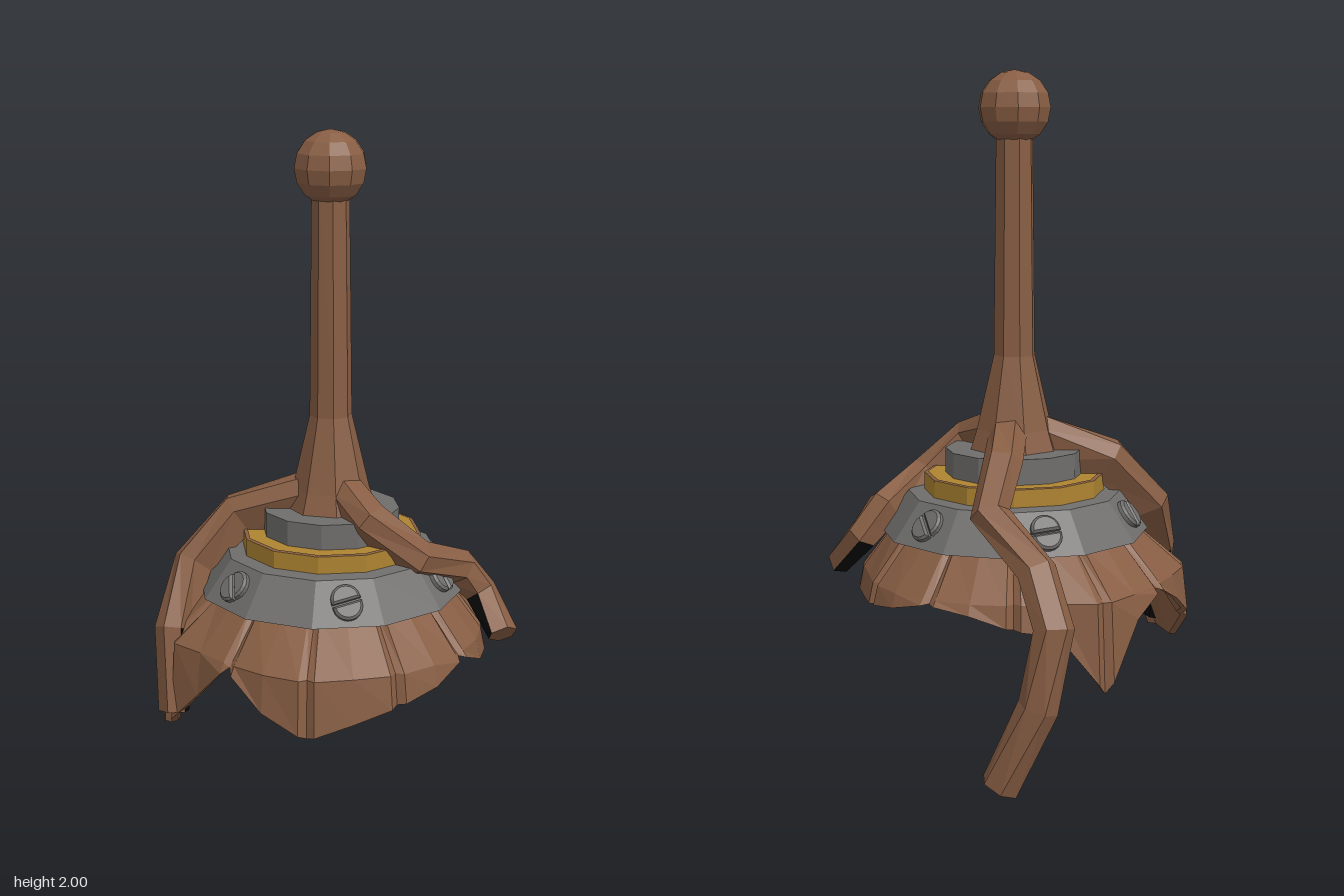
import * as THREE from 'three';

const V = (x, y, z) => new THREE.Vector3(x, y, z);
const AXIS = -0.02; // the centre line sits slightly off the origin in x and z

const paint = (name, color) => {
  const m = new THREE.MeshStandardMaterial({ color, flatShading: true });
  m.name = name;
  return m;
};

// Joins rows of points (each row a closed loop) into a faceted skin;
// faces picked by isSecond(row, column) use the second material
function loft(rows, isSecond = () => false) {
  const pos = [];
  const g = new THREE.BufferGeometry();
  const n = rows[0].length;
  for (let j = 0; j < rows.length - 1; j++) {
    for (let i = 0; i < n; i++) {
      const k = (i + 1) % n;
      const a = rows[j][i], b = rows[j][k], c = rows[j + 1][i], d = rows[j + 1][k];
      g.addGroup(pos.length / 3, 6, isSecond(j, i) ? 1 : 0);
      for (const p of [a, b, c, b, d, c]) pos.push(p.x, p.y, p.z);
    }
  }
  g.setAttribute('position', new THREE.Float32BufferAttribute(pos, 3));
  g.computeVertexNormals();
  return g;
}

// Bent root: a six-sided bar swept along a few points, deeper underneath near the pole,
// with a dark hollow along the inner side from the given segment to the tip
function rootGeometry(points, hollowFrom) {
  const width = 0.058, height = 0.048;
  const rings = points.map((p, i) => {
    const t = V(0, 0, 0);
    if (i > 0) t.add(p.clone().sub(points[i - 1]).normalize());
    if (i < points.length - 1) t.add(points[i + 1].clone().sub(p).normalize());
    t.normalize();
    const n = V(p.x - AXIS, 0, p.z - AXIS).normalize().add(V(0, 1, 0));
    n.addScaledVector(t, -n.dot(t)).normalize();
    const s = n.clone().cross(t);
    const depth = THREE.MathUtils.lerp(0.12, 0.035, i / (points.length - 1));
    return Array.from({ length: 6 }, (_, k) => {
      const a = (k / 6) * Math.PI * 2, up = Math.sin(a);
      return p.clone().addScaledVector(s, Math.cos(a) * width)
        .addScaledVector(n, up * (up > 0 ? height : depth));
    });
  });
  const cap = (p) => Array(6).fill(p);
  return loft([cap(points[0]), ...rings, cap(points[points.length - 1])],
    (row, column) => row > hollowFrom && row < points.length && column > 2);
}

// Ragged wooden skirt: twelve planks with grooves, hem given every 15 degrees from +x to +z
function skirtGeometry() {
  const hemY = [0.52, 0.49, 0.47, 0.46, 0.46, 0.47, 0.52, 0.47, 0.44, 0.4, 0.36, 0.42,
    0.52, 0.4, 0.27, 0.27, 0.38, 0.46, 0.52, 0.46, 0.27, 0.44, 0.46, 0.5];
  const hemR = [0.49, 0.49, 0.48, 0.46, 0.47, 0.48, 0.485, 0.5, 0.51, 0.51, 0.53, 0.51,
    0.49, 0.49, 0.53, 0.52, 0.53, 0.5, 0.49, 0.5, 0.53, 0.48, 0.48, 0.485];
  const sample = (list, deg) => {
    const f = ((deg + 360) % 360) / 15, i = Math.floor(f);
    return THREE.MathUtils.lerp(list[i % 24], list[(i + 1) % 24], f - i);
  };
  const rows = [[], [], [], [], [], []];
  for (let plank = 0; plank < 12; plank++) {
    for (const d of [-2.5, 0, 2.5, 15]) {
      const deg = plank * 30 + d, a = THREE.MathUtils.degToRad(deg);
      const groove = d === 0 ? 0.018 : 0;
      const r = sample(hemR, deg) - groove, y = sample(hemY, deg);
      const profile = [[0.36 - groove, 0.66], [r * 0.97, Math.max(0.53, y + 0.015)], [r, y],
        [r - 0.02, y + 0.005], [0.4, 0.535], [0, 0.525]];
      profile.forEach(([pr, py], j) => rows[j].push(V(Math.cos(a) * pr, py, Math.sin(a) * pr)));
    }
  }
  return loft(rows);
}

// Half of a slotted bolt head, bevelled and lying on the y = 0 plane
function halfBoltGeometry() {
  const shape = new THREE.Shape();
  shape.absarc(0, 0, 0.036, 0, Math.PI, false);
  const g = new THREE.ExtrudeGeometry(shape, {
    depth: 0.012, curveSegments: 5, bevelEnabled: true, bevelSegments: 1,
    bevelSize: 0.007, bevelThickness: 0.007,
  });
  g.translate(0, 0.01, 0);
  g.rotateX(-Math.PI / 2);
  return g;
}

export function createModel() {
  const wood = paint('wood', 0x885e44);
  const iron = paint('iron', 0x6f6e6c);
  const gold = paint('gold', 0xae8431);
  const hollow = paint('hollow black', 0x0a0a0a);
  const model = new THREE.Group();
  model.name = 'rootedStaffCap';
  const core = new THREE.Group();
  core.name = 'core';
  core.position.set(AXIS, 0, AXIS);
  model.add(core);

  const add = (parent, name, geometry, material) => {
    const mesh = new THREE.Mesh(geometry, material);
    mesh.name = name;
    parent.add(mesh);
    return mesh;
  };
  const lathe = (points, sides) =>
    new THREE.LatheGeometry(points.map(([x, y]) => new THREE.Vector2(x, y)), sides);

  // Pole and ball
  add(core, 'pole', lathe([[0.15, 0.84], [0.115, 0.95], [0.063, 1.17], [0.055, 1.85]], 8), wood);
  add(core, 'ball', new THREE.SphereGeometry(0.108, 10, 8), wood).position.y = 1.893;

  // Stacked rings, with a slim wooden lip around the gold one
  add(core, 'topDisc', lathe([[0.206, 0.8], [0.206, 0.89], [0, 0.89]], 12), iron);
  add(core, 'goldRing', lathe([[0.27, 0.755], [0.27, 0.815], [0.2, 0.815]], 12), gold);
  add(core, 'woodLip', lathe([[0.27, 0.8155], [0.258, 0.817]], 12), wood);
  add(core, 'collar', lathe([[0.35, 0.645], [0.402, 0.645], [0.318, 0.76], [0.25, 0.765]], 12), iron);

  // Six slotted bolts lying on the collar's slope
  const tilt = Math.atan2(0.115, 0.084);
  const halfBolt = halfBoltGeometry();
  for (let i = 0; i < 6; i++) {
    const a = THREE.MathUtils.degToRad(15 + i * 60);
    const bolt = new THREE.Group();
    bolt.name = 'bolt' + (i + 1);
    bolt.position.set(Math.cos(a) * 0.347, 0.703, Math.sin(a) * 0.347);
    bolt.quaternion.setFromUnitVectors(V(0, 1, 0),
      V(Math.cos(a) * Math.sin(tilt), Math.cos(tilt), Math.sin(a) * Math.sin(tilt)));
    for (const turn of [0, Math.PI]) {
      add(bolt, 'boltHalf', halfBolt, iron).rotation.y = 0.6 + i + turn;
    }
    core.add(bolt);
  }

  // Skirt
  add(core, 'skirt', skirtGeometry(), [wood]);

  // Three roots creeping down over the rings
  const bark = [wood, hollow];
  add(model, 'frontRoot', rootGeometry([V(-0.04, 0.95, 0.06), V(-0.085, 0.9, 0.18),
    V(0, 0.785, 0.29), V(0.18, 0.715, 0.32), V(0.23, 0.63, 0.36), V(0.185, 0.525, 0.465)], 4), bark);
  add(model, 'leftRoot', rootGeometry([V(0.05, 0.95, -0.04), V(0.2, 0.89, -0.11),
    V(0.305, 0.76, -0.13), V(0.355, 0.63, -0.31), V(0.41, 0.49, -0.395),
    V(0.435, 0.27, -0.36), V(0.455, 0.03, -0.25)], 4), bark);
  add(model, 'rightRoot', rootGeometry([V(-0.06, 0.95, -0.07), V(-0.17, 0.87, -0.27),
    V(-0.29, 0.72, -0.35), V(-0.42, 0.55, -0.31), V(-0.455, 0.31, -0.27)], 3), bark);

  return model;
}
